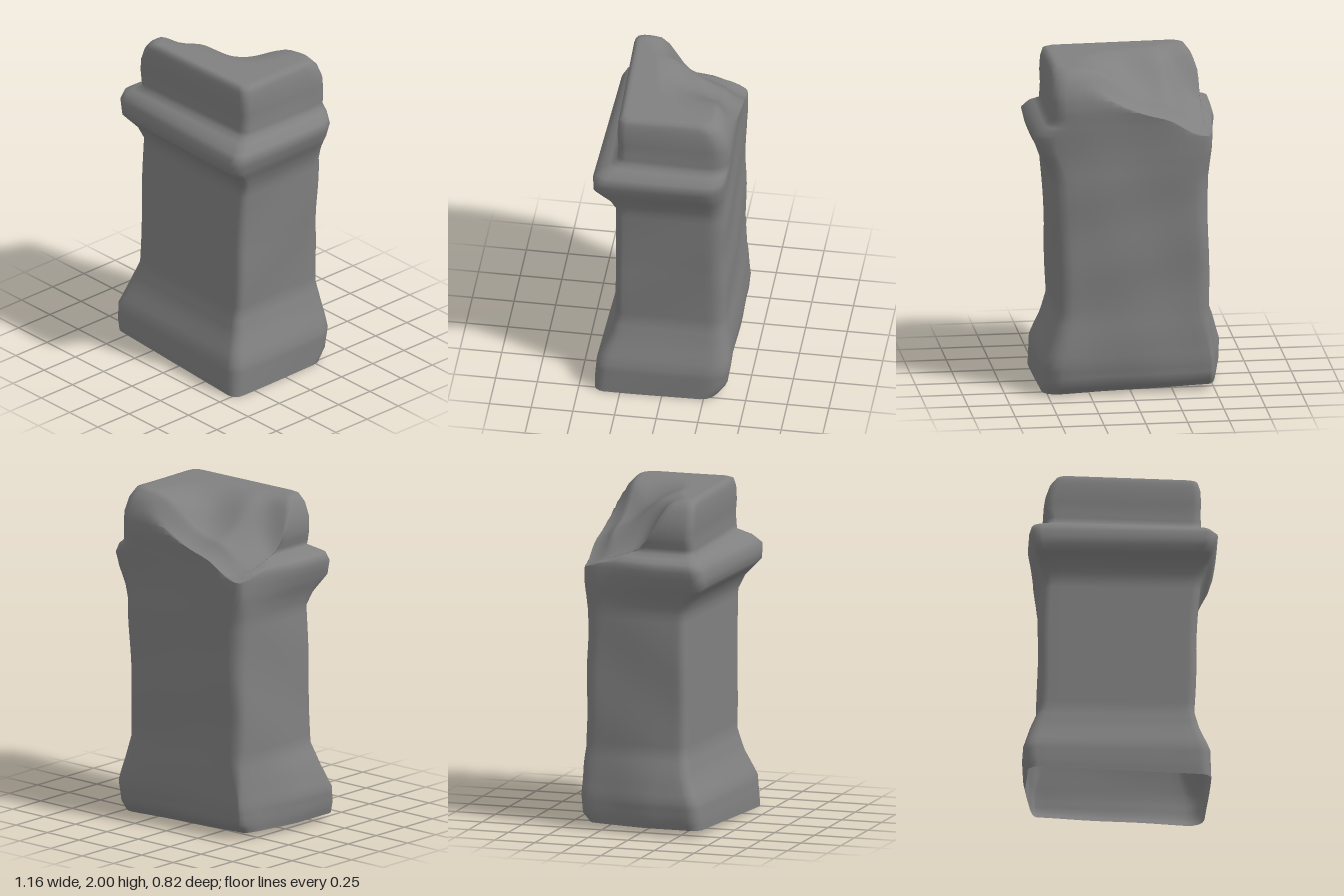
import * as THREE from 'three';

const { smoothstep } = THREE.MathUtils;

// Profile rows: height, left x, right x, back z, front z, corner radius
const SECTIONS = [
  [0.02, -0.56, 0.53, -0.33, 0.395, 0.06],
  [0.08, -0.575, 0.53, -0.38, 0.395, 0.07],
  [0.2, -0.58, 0.53, -0.395, 0.385, 0.07],
  [0.35, -0.535, 0.475, -0.385, 0.32, 0.06],
  [0.48, -0.485, 0.44, -0.375, 0.285, 0.05],
  [0.9, -0.475, 0.45, -0.37, 0.28, 0.05],
  [1.32, -0.465, 0.475, -0.37, 0.275, 0.05],
  [1.4, -0.485, 0.5, -0.37, 0.31, 0.05],
  [1.5, -0.525, 0.55, -0.375, 0.4, 0.06],
  [1.59, -0.545, 0.575, -0.38, 0.4, 0.07],
  [1.64, -0.53, 0.54, -0.382, 0.36, 0.06],
  [1.68, -0.43, 0.485, -0.383, 0.29, 0.05],
  [1.78, -0.45, 0.48, -0.39, 0.285, 0.05],
  [1.86, -0.445, 0.482, -0.385, 0.29, 0.05],
  [1.94, -0.42, 0.475, -0.355, 0.287, 0.05],
  [1.99, -0.385, 0.46, -0.31, 0.275, 0.05],
];

// Height of the broken top: flat, then falling to the back corner at -x
function topHeight(x, z) {
  const d = -0.596 * (x + 0.4) - 0.803 * (z - 0.15);
  const fall = 0.4 * (d + Math.sqrt(d * d + 0.002));
  const side = 0.16 * smoothstep(-x, 0.2, 0.44) * smoothstep(-z, -0.13, 0.06);
  const hollow = 0.1 * Math.exp(-((x + 0.06) ** 2 + (z + 0.18) ** 2) / 0.04);
  const dent = 0.02 * Math.exp(-((x + 0.3) ** 2 + (z - 0.07) ** 2) / 0.01);
  const backEdge = 0.05 * smoothstep(-z, 0.28, 0.4);
  const drop = fall + side + hollow + dent + backEdge;
  return 2.015 - 0.52 * (1 - Math.exp(-drop / 0.35)) + 0.006 * Math.sin(9 * x + 2);
}

// Rounded rectangle running from +x towards +z, softer at the back corners
function ringPoints([, x0, x1, z0, z1, r]) {
  const b = r + 0.04;
  const corners = [[x1 - r, z1 - r, r], [x0 + r, z1 - r, r], [x0 + b, z0 + b, b], [x1 - b, z0 + b, b]];
  const onCorner = (c, a) => {
    const [cx, cz, rad] = corners[c];
    return [cx + rad * Math.cos(a), cz + rad * Math.sin(a)];
  };
  const pts = [];
  for (let c = 0; c < 4; c++) {
    for (let k = 0; k <= 4; k++) pts.push(onCorner(c, (c + k / 4) * Math.PI / 2));
    // straight side up to the next corner
    const a = (c + 1) * Math.PI / 2;
    const p = onCorner(c, a), q = onCorner((c + 1) % 4, a);
    for (let k = 1; k < 14; k++) {
      const t = k / 14;
      pts.push([p[0] + (q[0] - p[0]) * t, p[1] + (q[1] - p[1]) * t]);
    }
  }
  return pts;
}

// Worn surface: uneven back, skewed front, foot and moulding fading at the back corner
function weather(x, y, z) {
  const back = smoothstep(-z, 0.2, 0.36);
  const skew = 0.03 - 0.055 * smoothstep(y, 1.58, 1.7);
  let pz = z + back * 0.008 * Math.sin(7 * x + 5 * y) * Math.cos(8 * y - 4 * x);
  pz += skew * x * smoothstep(z, 0, 0.25);
  const flare = 1 - 0.65 * smoothstep(-z, -0.1, 0.36);
  const px = (x < -0.46 ? -0.46 + (x + 0.46) * flare : x) + 0.004 * Math.sin(9 * y + 6 * z);
  const foot = Math.max(0, 1 - y / 0.25) * (-0.04 * x);
  const py = Math.min(y + foot, topHeight(px, pz) - 0.03 * (2 - y));
  // round the broken edge inwards
  pz += 0.12 * back * Math.max(0, y - py);
  return [px, py, pz];
}

function buildStone() {
  const rings = [];
  // Walls, with each pair of rows subdivided
  SECTIONS.forEach((s, i) => {
    const n = SECTIONS[i + 1];
    const steps = n ? Math.max(2, Math.ceil((n[0] - s[0]) / 0.05)) : 1;
    for (let k = 0; k < steps; k++) {
      const row = n ? s.map((v, j) => v + (n[j] - v) * k / steps) : s;
      rings.push(ringPoints(row).map(([x, z]) => weather(x, row[0], z)));
    }
  });
  // Top surface, rings shrinking to the middle
  const rim = rings[rings.length - 1], cx = 0.04, cz = -0.02;
  for (let k = 1; k <= 16; k++) {
    const s = 1 - k / 16;
    rings.push(rim.map(([x, , z]) => {
      const px = cx + (x - cx) * s, pz = cz + (z - cz) * s;
      return [px, Math.min(2, topHeight(px, pz)), pz];
    }));
  }
  const n = rim.length, index = [];
  for (let i = 0; i < rings.length - 1; i++) {
    for (let j = 0; j < n; j++) {
      const a = i * n + j, b = i * n + (j + 1) % n;
      index.push(a, a + n, b, b, a + n, b + n);
    }
  }
  const geo = new THREE.BufferGeometry();
  geo.setAttribute('position', new THREE.Float32BufferAttribute(rings.flat(2), 3));
  geo.setIndex(index);
  geo.computeVertexNormals();
  return geo;
}

export function createModel() {
  const group = new THREE.Group();
  group.name = 'stonePedestal';
  // Hollow shell, open underneath
  const material = new THREE.MeshStandardMaterial({ color: 0x808080, side: THREE.DoubleSide });
  const stone = new THREE.Mesh(buildStone(), material);
  stone.name = 'pedestalBody';
  group.add(stone);
  return group;
}
